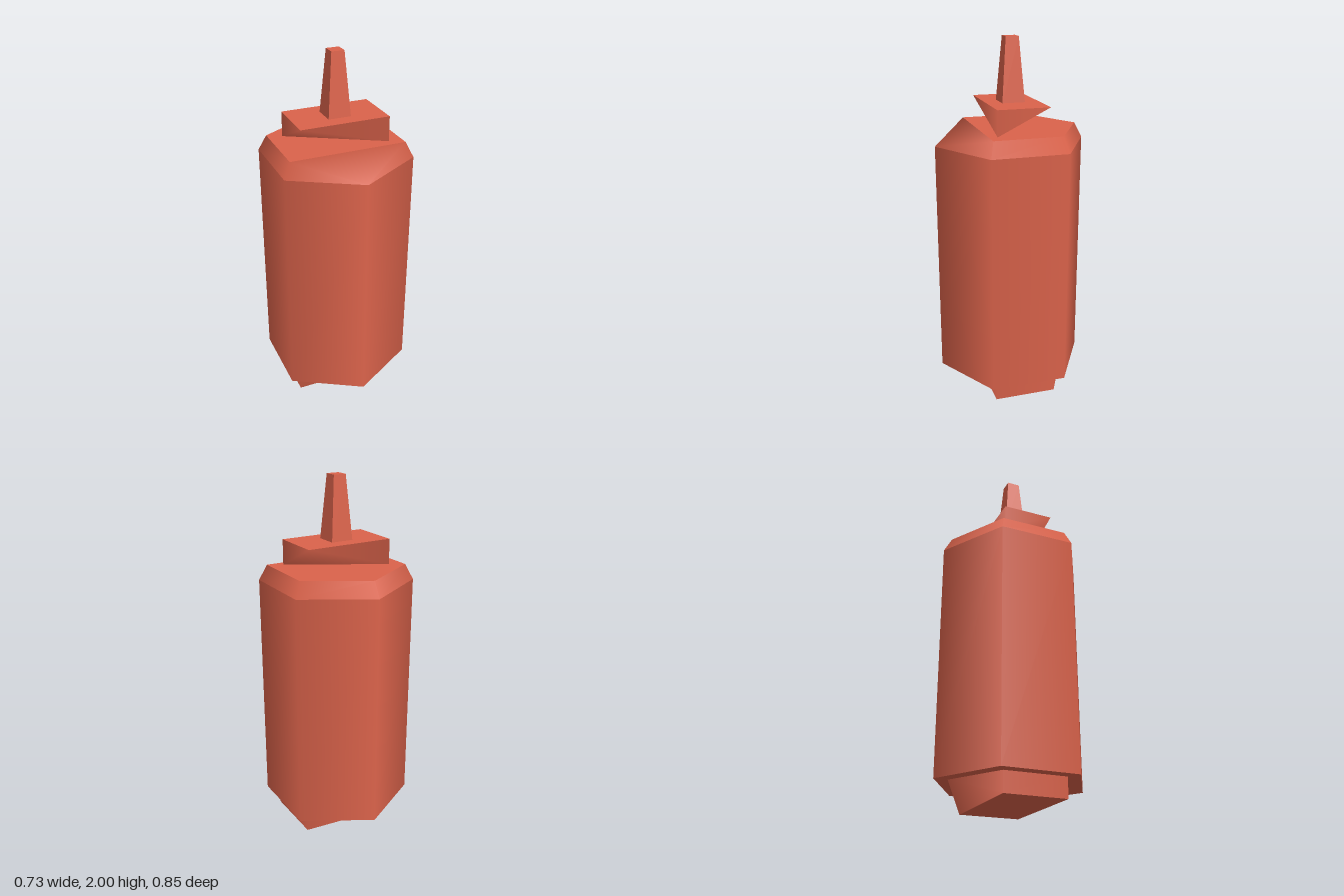
import * as THREE from 'three';

const red = new THREE.MeshStandardMaterial({ color: 0xdb634b });
red.name = 'sauce red';

// Six-sided ring; corner 0 faces the front, then round through +x, back and -x
function ring(r, y) {
  return Array.from({ length: 6 }, (_, i) => {
    const a = (i * Math.PI) / 3;
    return new THREE.Vector3(r * Math.sin(a), y, r * Math.cos(a));
  });
}

// Mesh from convex polygons. With a tilt, normals point out from the axis
// and lean up by that slope; without one, each polygon is flat.
function shell(name, polygons, tilt) {
  const pos = [], nor = [];
  for (const p of polygons) {
    const flat = new THREE.Vector3()
      .crossVectors(p[1].clone().sub(p[0]), p[2].clone().sub(p[0])).normalize();
    for (let i = 1; i < p.length - 1; i++) {
      for (const v of [p[0], p[i], p[i + 1]]) {
        pos.push(v.x, v.y, v.z);
        const n = tilt === undefined ? flat
          : new THREE.Vector3(v.x, 0, v.z).normalize().setY(tilt).normalize();
        nor.push(n.x, n.y, n.z);
      }
    }
  }
  const g = new THREE.BufferGeometry();
  g.setAttribute('position', new THREE.Float32BufferAttribute(pos, 3));
  g.setAttribute('normal', new THREE.Float32BufferAttribute(nor, 3));
  const mesh = new THREE.Mesh(g, red);
  mesh.name = name;
  return mesh;
}

// Quad between two rings from corner i to corner j
const wall = (lo, hi, i, j) => [lo[i], lo[j], hi[j], hi[i]];

export function createModel() {
  const model = new THREE.Group();
  model.name = 'squeezeBottle';

  // Body: smooth hexagonal barrel with a flat underside
  const low = ring(0.423, 0.11), high = ring(0.423, 1.43);
  model.add(shell('body', low.map((_, i) => wall(low, high, i, (i + 1) % 6)), 0));
  model.add(shell('bodyUnderside', [[...low].reverse()]));

  // Shoulder: narrows to a five-cornered top, with a long slope at the front
  const top = ring(0.377, 1.515);
  model.add(shell('shoulder', [
    ...[1, 2, 3, 4].map((i) => wall(high, top, i, i + 1)),
    [high[0], high[1], top[1]],
    [high[0], top[1], top[5]],
    [high[0], top[5], high[5]],
  ], 0.47));
  model.add(shell('shoulderTop', [top.slice(1)]));

  // Foot: flat at the front, cut away at the lower back
  const b = ring(0.347, 0), t = ring(0.347, 0.11);
  model.add(shell('foot', [
    wall(b, t, 1, 2), wall(b, t, 4, 5), wall(b, t, 5, 1),
    [b[2], t[3], t[2]], [b[2], b[4], t[3]], [b[4], t[4], t[3]],
  ], 0));
  model.add(shell('footUnderside', [[b[5], b[4], b[2], b[1]]]));

  // Collar: rectangular plate tapering to a diagonal ridge below
  const c = ring(0.288, 1.515), d = ring(0.288, 1.655);
  model.add(shell('collar', [
    [d[5], c[1], d[1]], [c[1], d[2], d[1]], [d[2], c[4], d[4]], [c[4], d[5], d[4]],
    [d[5], c[4], c[1]], [d[2], c[1], c[4]],
  ], 0));
  model.add(shell('collarTop', [[d[1], d[2], d[4], d[5]]]));

  // Nozzle: tapered square spout
  const spout = new THREE.CylinderGeometry(0.036 * Math.SQRT2, 0.063 * Math.SQRT2, 0.345, 4)
    .rotateY(Math.PI / 4).toNonIndexed();
  spout.computeVertexNormals();
  const nozzle = new THREE.Mesh(spout, red);
  nozzle.name = 'nozzle';
  nozzle.position.y = 1.8275;
  model.add(nozzle);

  return model;
}
